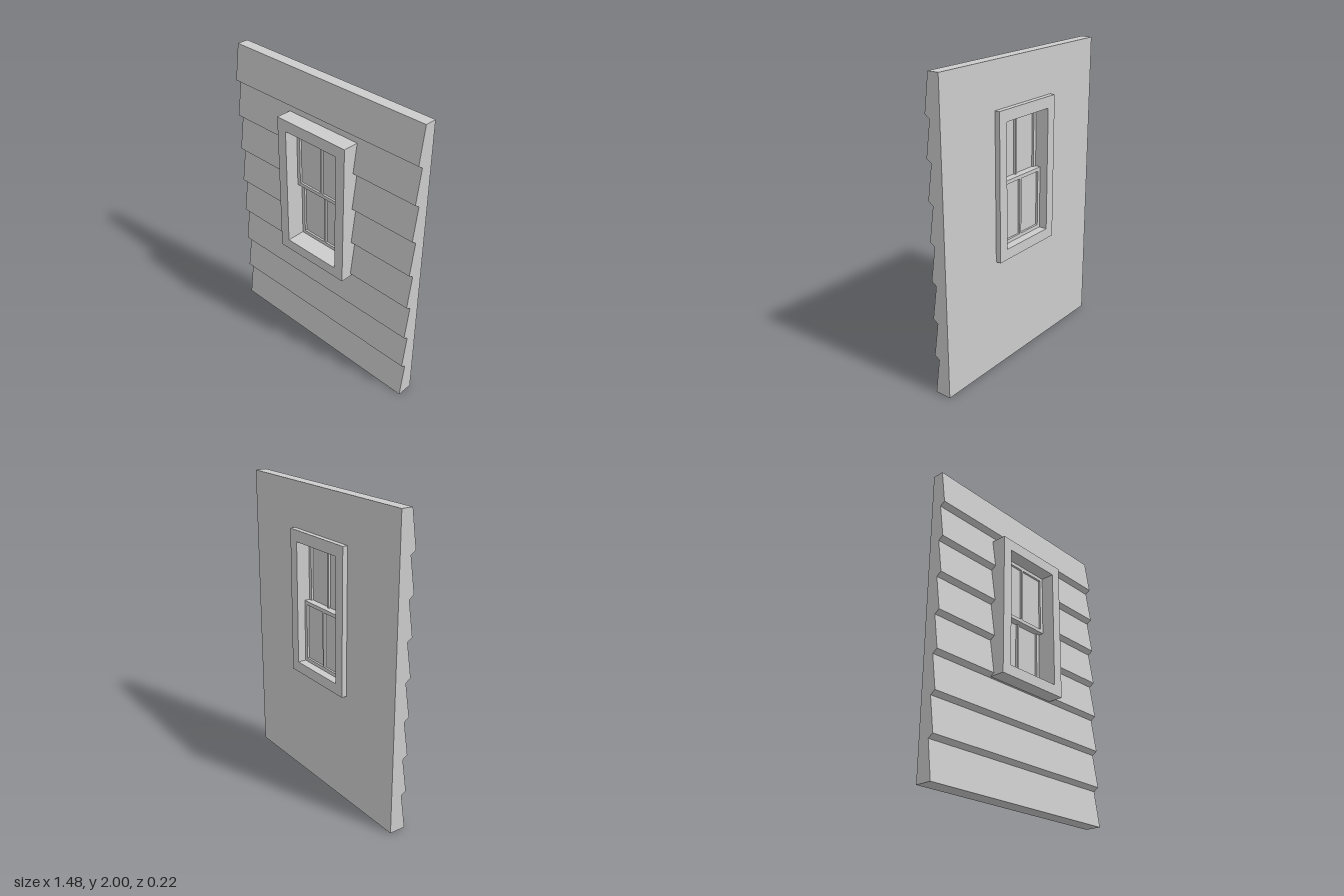
import * as THREE from 'three';

const material = new THREE.MeshStandardMaterial({ color: 0xcccccc, flatShading: true });

function addMesh(parent, name, geometry) {
  const mesh = new THREE.Mesh(geometry, material);
  mesh.name = name;
  parent.add(mesh);
  return mesh;
}

function addBox(parent, name, [x0, x1], [y0, y1], [z0, z1]) {
  const mesh = addMesh(parent, name, new THREE.BoxGeometry(x1 - x0, y1 - y0, z1 - z0));
  mesh.position.set((x0 + x1) / 2, (y0 + y1) / 2, (z0 + z1) / 2);
}

function rectangle(PathClass, x0, x1, y0, y1) {
  return new PathClass([[x0, y0], [x1, y0], [x1, y1], [x0, y1]].map(p => new THREE.Vector2(...p)));
}

// Rectangular frame with one or more rectangular openings, from z0 to z1
function framePanel(outer, holes, z0, z1) {
  const shape = rectangle(THREE.Shape, ...outer);
  shape.holes = holes.map(h => rectangle(THREE.Path, ...h));
  const geometry = new THREE.ExtrudeGeometry(shape, { depth: z1 - z0, bevelEnabled: false });
  return geometry.translate(0, 0, z0);
}

// Front outline of the lapped boards as [z, y], bottom to top
const BOARDS = 8, LAP = 0.034, BACK = -0.076;
const outline = [];
for (let i = 0; i < BOARDS; i++) {
  outline.push([LAP, i === 0 ? 0 : i * 0.25 + 0.013]);
  outline.push([0, i === BOARDS - 1 ? 2 : (i + 1) * 0.25 - 0.01]);
}

function frontDepth(y) {
  const i = Math.max(1, outline.findIndex(p => p[1] >= y));
  const [za, ya] = outline[i - 1], [zb, yb] = outline[i];
  return za + (zb - za) * (y - ya) / (yb - ya);
}

// Stretch of clapboard wall between given x and y limits
function wallPiece(x0, x1, y0, y1) {
  const front = [
    [frontDepth(y0), y0],
    ...outline.filter(p => p[1] > y0 && p[1] < y1),
    [frontDepth(y1), y1],
  ];
  // Shape x becomes -z once the extrusion is turned to run along x
  const points = [[BACK, y1], [BACK, y0], ...front].map(([z, y]) => new THREE.Vector2(-z, y));
  const geometry = new THREE.ExtrudeGeometry(new THREE.Shape(points), { depth: x1 - x0, bevelEnabled: false });
  return geometry.rotateY(Math.PI / 2).translate(x0, 0, 0);
}

// Sash with two panes divided by a vertical bar
function addSash(parent, name, y0, y1, z0, z1) {
  const sash = new THREE.Group();
  sash.name = name;
  parent.add(sash);
  const w = 0.208, stile = 0.024, bar = 0.008;
  const panes = [[-w + stile, -bar], [bar, w - stile]];
  addMesh(sash, 'sashFrame', framePanel([-w, w, y0, y1],
    panes.map(p => [...p, y0 + stile, y1 - stile]), z0, z1));
  const mid = (z0 + z1) / 2;
  for (const pane of panes) {
    addBox(sash, 'glassPane', pane, [y0 + stile, y1 - stile], [mid - 0.004, mid + 0.004]);
  }
}

export function createModel() {
  const model = new THREE.Group();
  model.name = 'clapboardWallWithWindow';

  // Wall around the window; the inner edges are hidden inside the casing
  const wall = new THREE.Group();
  wall.name = 'clapboardWall';
  model.add(wall);
  addMesh(wall, 'wallRight', wallPiece(-0.74, -0.25, 0, 2));
  addMesh(wall, 'wallLeft', wallPiece(0.25, 0.74, 0, 2));
  addMesh(wall, 'wallBelowWindow', wallPiece(-0.25, 0.25, 0, 0.775));
  addMesh(wall, 'wallAboveWindow', wallPiece(-0.25, 0.25, 1.67, 2));

  // Window casing and the two offset sashes
  const window = new THREE.Group();
  window.name = 'window';
  model.add(window);
  addMesh(window, 'casing', framePanel([-0.277, 0.277, 0.745, 1.705],
    [[-0.208, 0.208, 0.815, 1.63]], -0.11, 0.11));
  addSash(window, 'upperSash', 1.21, 1.63, -0.018, 0.018);
  addSash(window, 'lowerSash', 0.815, 1.235, -0.054, -0.018);

  return model;
}
